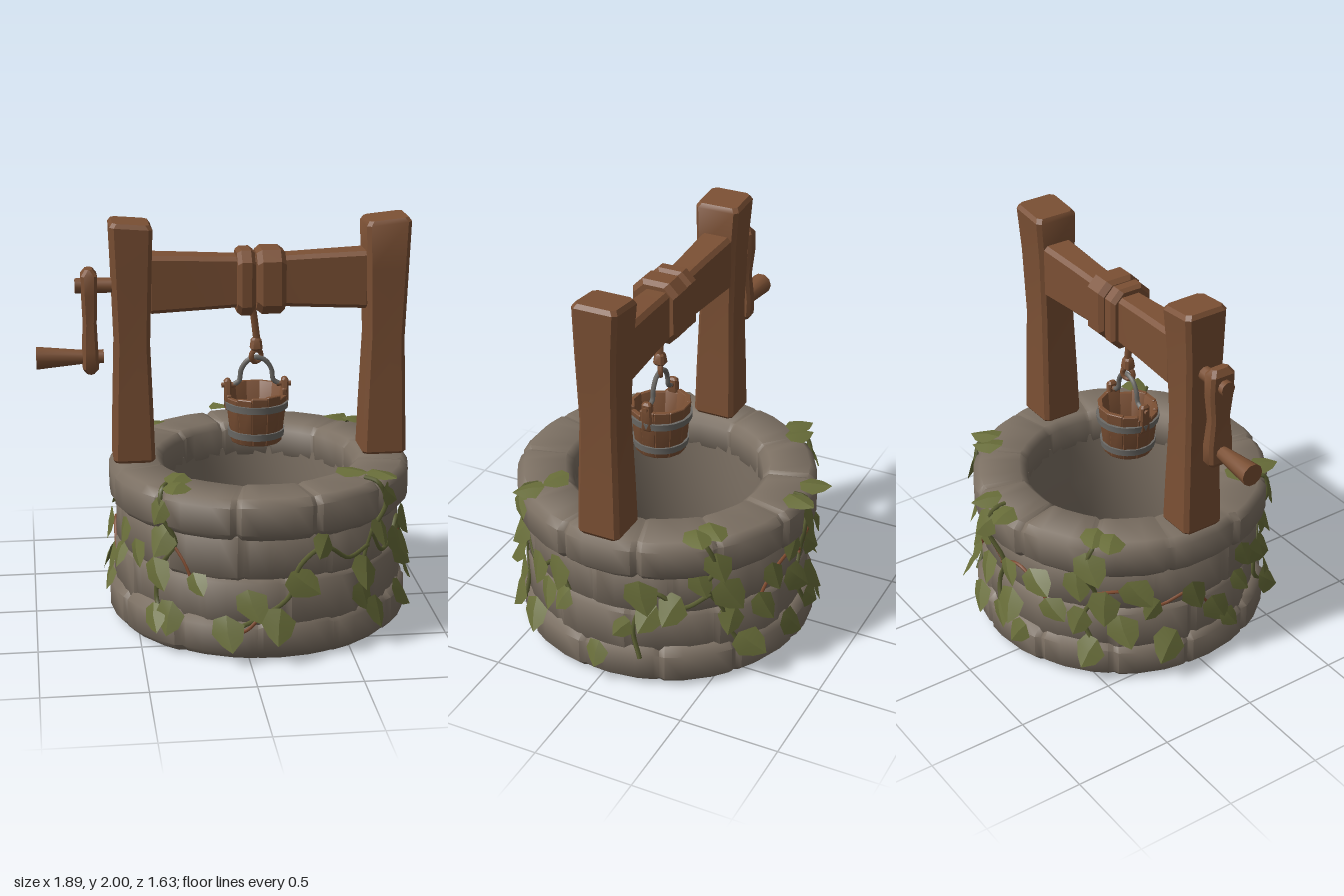
import * as THREE from 'three';
import { toCreasedNormals } from 'three/addons/utils/BufferGeometryUtils.js';

const CX = 0.125; // centre of the well in x
const mat = (name, color, side = THREE.FrontSide) => {
  const m = new THREE.MeshStandardMaterial({ color, side });
  m.name = name;
  return m;
};
let seed = 7;
const rnd = () => (seed = (seed * 16807) % 2147483647) / 2147483647;
const jit = a => (rnd() - 0.5) * 2 * a;
const rad = THREE.MathUtils.degToRad;

// Skin a list of cross-sections; closed joins last to first, otherwise the ends are capped
function loft(rings, closed, crease = 0.6) {
  const n = rings[0].length, m = rings.length, idx = [];
  for (let i = 0; i < (closed ? m : m - 1); i++) for (let j = 0; j < n; j++) {
    const a = i * n + j, b = i * n + (j + 1) % n, k = ((i + 1) % m) * n;
    const c = k + j, d = k + (j + 1) % n;
    idx.push(a, c, b, b, c, d);
  }
  if (!closed) for (let j = 1; j < n - 1; j++) {
    const e = (m - 1) * n;
    idx.push(0, j, j + 1, e, e + j + 1, e + j);
  }
  const g = new THREE.BufferGeometry();
  g.setAttribute('position', new THREE.Float32BufferAttribute(rings.flat(2), 3));
  g.setIndex(idx);
  return toCreasedNormals(g, crease);
}

// Chamfered rectangle, counter-clockwise
const chamfer = (w, d, c) => {
  const x = w / 2, z = d / 2;
  return [[x, -z + c], [x, z - c], [x - c, z], [-x + c, z], [-x, z - c], [-x, -z + c], [-x + c, -z], [x - c, -z]];
};

// Timber along y from sections [y, width, depth, offsetX, offsetZ], with bevelled ends
function bar(sections, c = 0.02, bevel = 0.02, slope = 0) {
  const s = sections.map(v => [...v]), first = [...s[0]], last = [...s[s.length - 1]];
  for (const e of [first, last]) { e[1] -= bevel * 1.4; e[2] -= bevel * 1.4; }
  s[0][0] += bevel;
  s[s.length - 1][0] -= bevel;
  const all = [first, ...s, last];
  return loft(all.map(([y, w, d, ox = 0, oz = 0], i) =>
    chamfer(w, d, c).map(([x, z]) => [x + ox, y + (i > all.length - 3 ? slope * x - Math.abs(slope) * w / 2 : 0), z + oz])), false);
}

// Ring of soft stones with narrow pinched joints; the lowest ring keeps a flat underside
function stoneRing(y0, y1, rIn, rOut, n, phase, c, pinch) {
  const rings = [], cy = (y0 + y1) / 2, cr = (rIn + rOut) / 2;
  for (let i = 0; i < n; i++) {
    const dr = jit(0.01), dy = jit(0.007);
    for (const [t, p] of [[0, pinch], [0.07, pinch * 0.15], [0.3, 0], [0.7, 0], [0.93, pinch * 0.15]]) {
      const a = rad(phase) + (i - 0.5 + t) / n * Math.PI * 2, k = t === 0 ? 0 : 1;
      rings.push(chamfer(rOut - rIn, y1 - y0, c).map(([u, v]) => {
        const r = cr + u + (u > 0 ? k * dr - p : p * 0.4);
        return [CX + r * Math.sin(a), cy + v + (v > 0 ? k * dy - p / 2 : y0 > 0 ? p / 2 : 0), r * Math.cos(a)];
      }));
    }
  }
  return loft(rings, true, 0.85);
}

// Plain ring from a closed counter-clockwise (radius, y) profile
const revolve = (profile, n) => loft(Array.from({ length: n }, (_, i) => {
  const a = i / n * Math.PI * 2;
  return profile.map(([r, y]) => [r * Math.sin(a), y, r * Math.cos(a)]);
}), true);

// Point on the outside of the wall
const onWall = (deg, y, r = y > 0.61 ? 0.76 : y > 0.2 ? 0.715 : 0.75) =>
  new THREE.Vector3(CX + r * Math.sin(rad(deg)), y, r * Math.cos(rad(deg)));

export function createModel() {
  const stone = mat('stone', 0x7c7063), wood = mat('wood', 0x7b5034), metal = mat('metal', 0x6c6a66);
  const leafGreen = mat('leafGreen', 0x686d39, THREE.DoubleSide), vineGreen = mat('vineGreen', 0x5c6033);
  const twig = mat('twig', 0x834d30);
  const model = new THREE.Group();
  const add = (name, geo, material, parent = model) => {
    const m = new THREE.Mesh(geo, material);
    m.name = name;
    parent.add(m);
    return m;
  };
  const group = name => {
    const g = new THREE.Group();
    g.name = name;
    model.add(g);
    return g;
  };

  // Stone wall, with a smooth lining inside
  const wall = group('wall');
  add('baseStones', stoneRing(0, 0.21, 0.49, 0.745, 12, 8, 0.04, 0.014), stone, wall);
  add('lowerWallStones', stoneRing(0.15, 0.415, 0.5, 0.715, 11, 20, 0.03, 0.006), stone, wall);
  add('upperWallStones', stoneRing(0.385, 0.65, 0.5, 0.71, 11, 4, 0.03, 0.006), stone, wall);
  add('rimStones', stoneRing(0.605, 0.812, 0.475, 0.75, 12, 0, 0.035, 0.016), stone, wall);
  add('lining', revolve([[0.49, 0.1], [0.54, 0.1], [0.54, 0.68], [0.48, 0.68], [0.465, 0.4]], 24), stone, wall).position.x = CX;

  // Posts
  const post = (name, x, w, slope) => add(name, bar([[0.8, w, 0.22], [1.05, w - 0.012, 0.21], [1.4, w - 0.035, 0.19],
    [1.75, w - 0.015, 0.21], [2, w, 0.23, 0, -0.007]], 0.02, 0.02, slope), wood).position.x = x;
  post('rightPost', -0.495, 0.205, -0.08);
  post('leftPost', 0.752, 0.22, 0.1);

  // Crossbeam and the rope wound round it
  const along = (name, sections, y, z, c, bevel) => {
    const m = add(name, bar(sections, c, bevel).rotateZ(-Math.PI / 2), wood);
    m.position.set(0, y, z);
  };
  along('crossbeam', [[-0.42, 0.285, 0.165], [-0.15, 0.265, 0.145], [0.13, 0.24, 0.13], [0.4, 0.265, 0.145], [0.67, 0.285, 0.165]], 1.69, -0.007);
  along('ropeCoil', [[0.015, 0.32, 0.225], [0.102, 0.32, 0.225]], 1.69, 0.005, 0.05, 0.02);
  along('ropeCoil', [[0.11, 0.315, 0.24], [0.25, 0.315, 0.24]], 1.695, 0.008, 0.05, 0.025);

  // Crank
  const crank = group('crank');
  crank.position.z = -0.012;
  const rod = (name, x0, x1, r0, r1, y) => {
    const g = new THREE.CylinderGeometry(r1, r0, x1 - x0, 10).rotateZ(-Math.PI / 2);
    add(name, toCreasedNormals(g, 0.8), wood, crank).position.set((x0 + x1) / 2, y, 0);
  };
  rod('crankAxle', -0.765, -0.57, 0.037, 0.037, 1.68);
  rod('crankHandle', -0.96, -0.73, 0.056, 0.034, 1.325);
  rod('crankHandlePin', -0.74, -0.632, 0.034, 0.034, 1.325);
  add('crankArm', bar([[1.245, 0.078, 0.13], [1.36, 0.075, 0.135], [1.5, 0.066, 0.105], [1.64, 0.075, 0.135], [1.765, 0.078, 0.13]], 0.015, 0.03), wood, crank).position.x = -0.697;

  // Hanging rope, knot and hook ring
  const hang = group('hangingRope');
  const tube = (pts, r, seg = 12, sides = 6) => new THREE.TubeGeometry(new THREE.CatmullRomCurve3(pts), seg, r, sides);
  const V = (x, y, z) => new THREE.Vector3(x, y, z);
  add('rope', tube([V(0.085, 1.6, 0.06), V(0.098, 1.53, 0.05), V(0.115, 1.4, 0.045)], 0.019), wood, hang);
  add('knot', bar([[1.35, 0.06, 0.06], [1.412, 0.05, 0.05]], 0.012, 0.01), wood, hang).position.set(0.112, 0, 0.045);
  const hook = add('hookRing', new THREE.TorusGeometry(0.03, 0.014, 6, 12), wood, hang);
  hook.position.set(0.112, 1.32, 0.045);
  hook.rotation.y = 0.5;

  // Bucket
  const bucket = group('bucket');
  bucket.position.set(0.113, 0, 0.045);
  const n = 12, tan = 2 * Math.tan(Math.PI / n);
  for (let i = 0; i < n; i++) {
    const top = 1.14 + jit(0.02);
    add('stave', bar([[0.89, 0.127 * tan, 0.024, 0, 0.112], [top, 0.153 * tan, 0.024, 0, 0.137]], 0.005, 0.004)
      .rotateY(i / n * Math.PI * 2), wood, bucket);
  }
  add('bucketFloor', new THREE.CylinderGeometry(0.112, 0.11, 0.03, 12), wood, bucket).position.y = 0.91;
  const band = (name, y, r) => add(name, revolve([[r - 0.02, y], [r, y], [r + 0.003, y + 0.034], [r - 0.017, y + 0.034]], 20), metal, bucket);
  band('upperBand', 1.062, 0.157);
  band('lowerBand', 0.92, 0.139);
  for (const s of [-1, 1]) {
    add('ear', bar([[1.05, 0.03, 0.06], [1.208, 0.034, 0.05]], 0.008, 0.012), wood, bucket).position.x = s * 0.142;
    const pin = add('earPin', new THREE.CylinderGeometry(0.013, 0.013, 0.07, 8).rotateZ(Math.PI / 2), wood, bucket);
    pin.position.set(s * 0.137, 1.175, 0);
  }
  add('bail', tube([V(-0.115, 1.175, 0), V(-0.085, 1.195, 0), V(-0.075, 1.25, 0), V(-0.045, 1.295, 0), V(0, 1.312, 0),
    V(0.045, 1.295, 0), V(0.075, 1.25, 0), V(0.085, 1.195, 0), V(0.115, 1.175, 0)], 0.013, 28), metal, bucket);

  // Ivy stems, as [angle, height, radius] along the wall
  const ivy = group('ivy');
  const stems = [
    [[-47, 0.82, 0.68], [-45, 0.81, 0.74], [-44, 0.7], [-40, 0.55], [-47, 0.42], [-50, 0.25], [-44, 0.14]],
    [[44, 0.82, 0.66], [44, 0.81, 0.74], [47, 0.7], [42, 0.55], [38, 0.42], [40, 0.28], [43, 0.15]],
    [[41, 0.5], [30, 0.47], [19, 0.55], [9, 0.47], [5, 0.32], [-6, 0.22], [-18, 0.15]],
    [[43, 0.55], [50, 0.44], [58, 0.46], [68, 0.54], [75, 0.42]],
    [[130, 0.82, 0.68], [130, 0.81, 0.745], [134, 0.68], [131, 0.55], [138, 0.4], [142, 0.25], [146, 0.14]],
    [[133, 0.5], [122, 0.44], [112, 0.52], [107, 0.45], [103, 0.3], [106, 0.16]],
    [[180, 0.82, 0.68], [180, 0.81, 0.745], [177, 0.66], [182, 0.5], [178, 0.35], [182, 0.18]],
    [[226, 0.82, 0.68], [226, 0.81, 0.745], [222, 0.66], [226, 0.5], [221, 0.35], [227, 0.18]],
  ];
  const twigs = [
    [[-6, 0.22], [-12, 0.16], [-22, 0.15]], [[-41, 0.54], [-36, 0.46], [-33, 0.38]], [[70, 0.54], [73, 0.46], [75, 0.36]],
    [[181, 0.5], [170, 0.55], [158, 0.46], [153, 0.35]], [[180, 0.48], [192, 0.54], [203, 0.44], [208, 0.34]],
    [[225, 0.5], [238, 0.52], [250, 0.42], [264, 0.46], [275, 0.32]],
  ];
  for (const s of stems) add('stem', tube(s.map(p => onWall(...p)), 0.012, 36, 5), vineGreen, ivy);
  for (const s of twigs) add('twig', tube(s.map(p => onWall(...p)), 0.009, 18, 5), twig, ivy);

  // Broad leaf, gently folded along its midrib
  const leaf = new THREE.BufferGeometry();
  leaf.setAttribute('position', new THREE.Float32BufferAttribute([
    0, 0.03, 0.004, -0.06, 0.018, 0, -0.076, -0.045, -0.006, -0.035, -0.1, 0, 0.012, -0.135, 0.012,
    0.06, -0.085, 0, 0.072, -0.02, -0.006, 0, -0.045, 0.014], 3));
  leaf.setIndex([0, 1, 7, 1, 2, 7, 2, 3, 7, 3, 4, 7, 4, 5, 7, 5, 6, 7, 6, 0, 7]);
  const leafGeo = toCreasedNormals(leaf, 0.3);
  const addLeaf = (deg, y, scale, tilt, roll, r) => {
    const m = add('leaf', leafGeo, leafGreen, ivy);
    m.position.copy(onWall(deg, y, r));
    m.rotation.set(tilt, rad(deg) + jit(0.2), jit(roll), 'YXZ');
    m.scale.setScalar(scale);
  };
  // Leaves on the wall as [angle, height of the leaf's middle]
  const leaves = [
    [-43, 0.7], [-43, 0.56], [-49, 0.38], [-31, 0.36], [-48, 0.16], [-72, 0.38], [-68, 0.52], [-80, 0.22], [-60, 0.44],
    [19, 0.55], [7, 0.38], [-10, 0.29], [1, 0.2], [-18, 0.16], [-40, 0.19], [46, 0.72], [46, 0.56], [58, 0.46], [38, 0.38],
    [36, 0.26], [42, 0.17], [71, 0.52], [75, 0.37], [64, 0.36], [57, 0.19], [106, 0.52], [120, 0.44], [101, 0.3], [111, 0.39],
    [90, 0.15], [138, 0.5], [142, 0.34], [145, 0.19], [134, 0.69], [128, 0.57], [180, 0.71], [174, 0.58], [186, 0.48],
    [171, 0.4], [188, 0.3], [160, 0.5], [154, 0.36], [200, 0.5], [207, 0.36], [182, 0.2], [166, 0.18], [196, 0.16],
    [224, 0.7], [219, 0.56], [230, 0.45], [221, 0.34], [236, 0.31], [240, 0.52], [250, 0.4], [226, 0.18], [256, 0.2], [265, 0.45],
    [275, 0.31]];
  for (const [a, y] of leaves)
    addLeaf(a, y + 0.045, 0.75 + rnd() * 0.4, -0.15 - rnd() * 0.3, 0.8, y > 0.61 ? 0.763 : y > 0.25 ? 0.73 : 0.755);
  // Leaves lying over the rim
  for (const [a, r] of [[-47, 0.57], [-40, 0.68], [44, 0.53], [50, 0.68], [128, 0.68], [135, 0.64], [176, 0.7], [187, 0.71], [226, 0.66], [233, 0.7]])
    addLeaf(a, 0.83, 0.95, -1.45, 0.4, r);

  return model;
}
